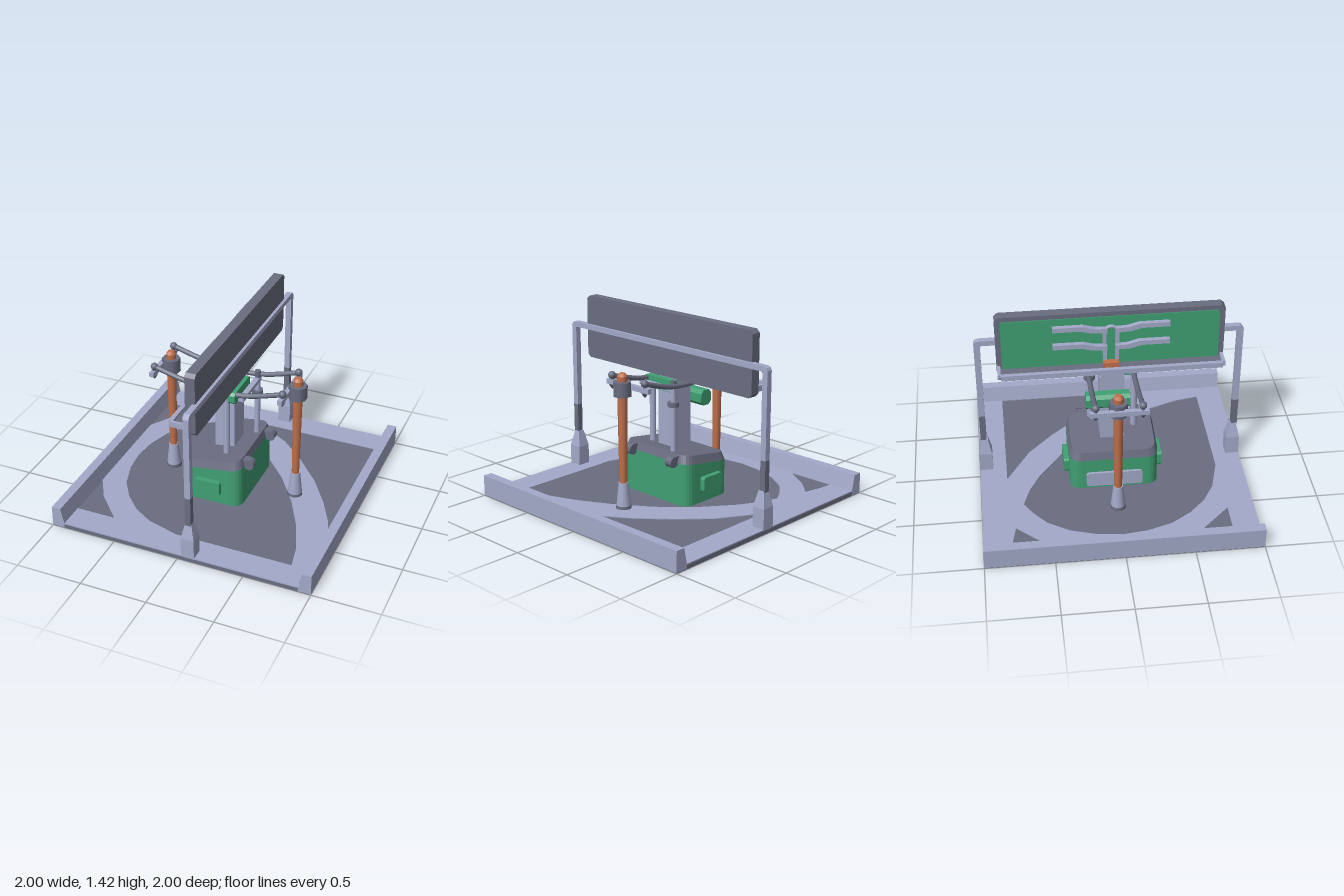
import * as THREE from 'three';

const mat = (name, color) => {
  const m = new THREE.MeshStandardMaterial({ color });
  m.name = name;
  return m;
};

export function createModel() {
  const root = new THREE.Group();
  const light = mat('pale lavender metal', 0xa3a9c9);
  const dark = mat('slate grey', 0x696d80);
  const green = mat('green enamel', 0x40a073);
  const orange = mat('copper orange', 0xc0704b);

  const add = (name, geo, m, x = 0, y = 0, z = 0) => {
    const mesh = new THREE.Mesh(geo, m);
    mesh.name = name;
    mesh.position.set(x, y, z);
    root.add(mesh);
    return mesh;
  };
  // Box given by its extents on each axis
  const box = (name, m, x0, x1, y0, y1, z0, z1) =>
    add(name, new THREE.BoxGeometry(x1 - x0, y1 - y0, z1 - z0), m, (x0 + x1) / 2, (y0 + y1) / 2, (z0 + z1) / 2);
  const cyl = (name, m, rTop, rBottom, y0, y1, x, z, sides = 12) =>
    add(name, new THREE.CylinderGeometry(rTop, rBottom, y1 - y0, sides), m, x, (y0 + y1) / 2, z);
  const poly = (pts) => new THREE.Shape(pts.map(([a, b]) => new THREE.Vector2(a, b)));
  const extrude = (shape, depth) =>
    new THREE.ExtrudeGeometry(shape, { depth, bevelEnabled: false, curveSegments: 6 });
  // Outline in (z, y), thickness along x
  const slabX = (name, m, shape, x0, x1) =>
    add(name, extrude(shape, x1 - x0).rotateY(-Math.PI / 2), m, x1);
  // Outline in (x, -z), thickness along y
  const flat = (shape, depth) => extrude(shape, depth).rotateX(-Math.PI / 2);
  const cutRect = (a0, a1, b0, b1, c) => poly([
    [a0 + c, b0], [a1 - c, b0], [a1, b0 + c], [a1, b1 - c],
    [a1 - c, b1], [a0 + c, b1], [a0, b1 - c], [a0, b0 + c]]);
  const roundRect = (a0, a1, b0, b1, r) => {
    const s = new THREE.Shape();
    s.moveTo(a0 + r, b0);
    s.lineTo(a1 - r, b0).quadraticCurveTo(a1, b0, a1, b0 + r);
    s.lineTo(a1, b1 - r).quadraticCurveTo(a1, b1, a1 - r, b1);
    s.lineTo(a0 + r, b1).quadraticCurveTo(a0, b1, a0, b1 - r);
    s.lineTo(a0, b0 + r).quadraticCurveTo(a0, b0, a0 + r, b0);
    return s;
  };

  // Base: dark floor with a raised border and curved bands
  box('floor', dark, -0.999, 0.999, 0, 0.034, -0.999, 0.999);
  const border = poly([[-0.92, -1], [0.92, -1], [0.92, 1], [-0.92, 1]]);
  const openings = [
    [[-0.4, -0.69], [-0.5, -0.63], [-0.62, -0.53], [-0.72, -0.37], [-0.78, -0.18], [-0.8, 0], [-0.78, 0.18],
      [-0.72, 0.37], [-0.62, 0.52], [-0.5, 0.64], [-0.35, 0.73], [-0.1, 0.8], [0.785, 0.8], [0.75, 0.62],
      [0.65, 0.35], [0.52, 0.1], [0.35, -0.15], [0.15, -0.37], [-0.1, -0.56], [-0.25, -0.64]],
    [[-0.1, -0.8], [0.905, -0.8], [0.905, 0.37], [0.85, 0.22], [0.75, 0.03], [0.6, -0.2], [0.4, -0.43], [0.2, -0.62]],
    [[-0.905, 0.41], [-0.8, 0.59], [-0.6, 0.8], [-0.905, 0.8]],
    [[-0.905, -0.8], [-0.8, -0.79], [-0.65, -0.76], [-0.78, -0.62], [-0.905, -0.42]],
  ];
  for (const pts of openings) border.holes.push(new THREE.Path(pts.map(([x, z]) => new THREE.Vector2(x, -z))));
  add('floorBands', flat(border, 0.009), light, 0, 0.031);

  // Side rails with a sloped inner face
  for (const s of [-1, 1]) {
    const profile = poly([[0.905, 0.004], [1, 0.004], [1, 0.16], [0.93, 0.16], [0.905, 0.04]].map(([x, y]) => [s * x, y]));
    add('sideRail', extrude(profile, 2), light, 0, 0, -1);
  }

  // Arched frame, lower legs and tapered feet
  slabX('archFrame', light, poly([
    [-0.98, 0.53], [-0.935, 0.53], [-0.935, 1.15], [-0.925, 1.16], [0.925, 1.16], [0.935, 1.15], [0.935, 0.53],
    [0.98, 0.53], [0.98, 1.17], [0.97, 1.19], [0.95, 1.2], [-0.95, 1.2], [-0.97, 1.19], [-0.98, 1.17]]), 0.058, 0.102);
  for (const s of [-1, 1]) {
    box('frameLeg', dark, 0.058, 0.102, 0.3, 0.53, s * 0.9575 - 0.0225, s * 0.9575 + 0.0225);
    box('frameFoot', light, 0.03, 0.13, 0.03, 0.19, s * 0.95 - 0.05, s * 0.95 + 0.05);
    const taper = new THREE.CylinderGeometry(0.033, 0.0707, 0.12, 4).rotateY(Math.PI / 4).toNonIndexed();
    taper.computeVertexNormals();
    add('frameFootTaper', taper, light, 0.08, 0.25, s * 0.95);
  }

  // Long panel with green face, and its tray
  slabX('panel', dark, cutRect(-0.825, 0.825, 0.94, 1.42, 0.025), 0.005, 0.08);
  slabX('panelFace', green, cutRect(-0.785, 0.785, 0.975, 1.385, 0.015), -0.001, 0.006);
  box('trayFloor', dark, -0.11, 0.005, 0.975, 0.99, -0.81, 0.81);
  box('trayLip', light, -0.132, -0.1, 0.975, 1.015, -0.8, 0.8);
  for (const s of [-1, 1]) box('trayEnd', light, -0.11, 0.005, 0.975, 1.015, s * 0.81 - 0.012, s * 0.81 + 0.012);
  box('trayClip', orange, -0.075, -0.025, 0.985, 1.035, -0.055, 0.055);

  // Branched bracket on the green face
  for (const s of [-1, 1]) {
    box('bracketStem', light, -0.03, 0, 1.0, 1.27, s * 0.045 - 0.013, s * 0.045 + 0.013);
    for (const y of [1.18, 1.325]) {
      const curve = [[0.03, y - 0.045], [0.14, y - 0.04], [0.22, y - 0.018], [0.42, y - 0.018],
        [0.42, y + 0.018], [0.2, y + 0.018], [0.12, y - 0.005], [0.03, y - 0.01]];
      slabX('bracketArm', light, poly(curve.map(([z, h]) => [s * z, h])), -0.055, -0.02);
      box('bracketPad', dark, -0.03, 0, y - 0.035, y - 0.015, s * 0.16 - 0.02, s * 0.16 + 0.02);
    }
  }
  add('bracketArch', new THREE.TorusGeometry(0.045, 0.015, 6, 12, Math.PI).rotateY(Math.PI / 2), light, -0.02, 1.27, 0);

  // Two posts with collars, feet and crossbars
  for (const x of [-0.49, 0.51]) {
    cyl('postFootRing', dark, 0.056, 0.058, 0.035, 0.062, x, 0);
    cyl('postFoot', light, 0.036, 0.055, 0.06, 0.235, x, 0);
    cyl('post', orange, 0.038, 0.029, 0.22, 1.03, x, 0, 8);
    cyl('postCap', orange, 0.022, 0.038, 1.03, 1.052, x, 0, 8);
    const collar = cyl('collar', dark, 0.068, 0.068, 0.885, 0.992, x, 0, 8);
    collar.rotation.y = Math.PI / 8;
    const bx = x - 0.06;
    box('crossbar', light, bx - 0.02, bx + 0.015, 0.925, 0.962, -0.21, 0.21);
    for (const z of [-0.165, 0.165]) {
      add('rodBall', new THREE.SphereGeometry(0.028, 12, 8), dark, bx + 0.003, 0.995, z);
      cyl('ballStud', dark, 0.026, 0.006, 0.895, 0.927, bx, z, 8);
      cyl('ballNeck', dark, 0.013, 0.013, 0.96, 0.99, bx, z, 8);
    }
  }

  // Sagging rods
  for (const z of [-0.165, 0.165]) {
    const path = new THREE.CatmullRomCurve3([[-0.55, 0.995], [-0.3, 0.93], [-0.05, 0.902], [0.18, 0.915], [0.45, 0.99]]
      .map(([x, y]) => new THREE.Vector3(x, y, z)));
    add('saggingRod', new THREE.TubeGeometry(path, 20, 0.019, 8), dark);
  }

  // Green housing with a sloping top and dark lid
  const footprint = roundRect(-0.26, 0.2, -0.33, 0.33, 0.09);
  const slope = (x) => 0.295 + (x + 0.26) * 0.14;
  const housing = flat(footprint, 1);
  const lid = flat(footprint, 1);
  const hp = housing.attributes.position, lp = lid.attributes.position;
  for (let i = 0; i < hp.count; i++) {
    if (hp.getY(i) > 0.5) hp.setY(i, slope(hp.getX(i)));
    else hp.setY(i, 0.036);
    const x = lp.getX(i), top = lp.getY(i) > 0.5;
    lp.setY(i, slope(x) + (top ? 0.062 : 0));
    if (top) lp.setX(i, -0.03 + (x + 0.03) * 0.92).setZ(i, lp.getZ(i) * 0.94);
  }
  housing.computeVertexNormals();
  lid.computeVertexNormals();
  add('housing', housing, green);
  add('housingLid', lid, dark);
  for (const s of [-1, 1]) {
    const pod = extrude(roundRect(-0.155, 0.05, 0.12, 0.235, 0.025), 0.045);
    add('sidePod', pod, green, 0, 0, s > 0 ? 0.325 : -0.37);
    const hinge = new THREE.CylinderGeometry(0.042, 0.042, 0.06, 8).rotateX(Math.PI / 2);
    add('hinge', hinge, dark, 0.228, 0.37, s * 0.21);
    box('hingeArm', dark, 0.13, 0.23, 0.345, 0.41, s * 0.21 - 0.03, s * 0.21 + 0.03);
  }
  slabX('housingPlate', light, roundRect(-0.21, 0.21, 0.065, 0.185, 0.025), -0.28, -0.255);

  // Central column and guide rods
  box('column', light, -0.098, 0.055, 0.33, 0.925, -0.09, 0.09);
  box('columnHead', light, -0.1, 0.0, 0.92, 0.98, -0.08, 0.08);
  box('columnSpine', light, 0.005, 0.05, 0.9, 0.95, -0.09, 0.09);
  cyl('guideRod', light, 0.024, 0.024, 0.36, 0.92, 0.03, 0.175);
  cyl('guideRod', light, 0.022, 0.022, 0.36, 0.9, 0.142, -0.145);
  cyl('rodClamp', dark, 0.042, 0.042, 0.755, 0.79, 0.142, -0.145);
  box('guideBar', light, 0.122, 0.163, 0.865, 0.895, -0.17, 0.18);
  cyl('guideCap', dark, 0.022, 0.022, 0.893, 0.95, 0.142, -0.145);

  // Green end blocks on the column
  slabX('upperBlock', green, cutRect(-0.1, 0.2, 0.835, 0.925, 0.02), 0.045, 0.1);
  add('lowerBlock', extrude(cutRect(-0.2, -0.095, 0.715, 0.83, 0.025), 0.32), green, 0, 0, -0.2);

  return root;
}
